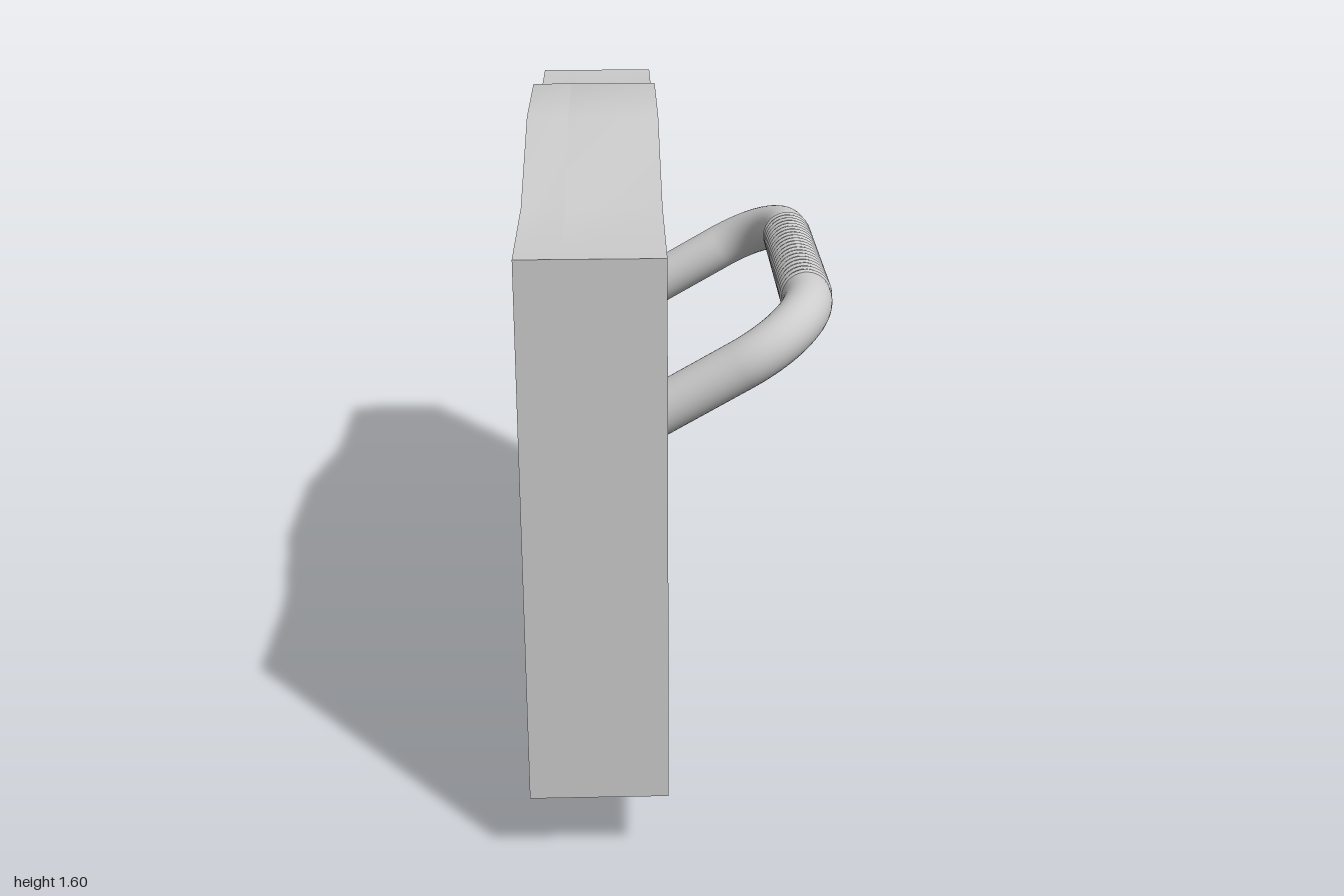
import * as THREE from 'three';
import { toCreasedNormals } from 'three/addons/utils/BufferGeometryUtils.js';

const BACK = -0.375, FRONT = -0.055, FLOOR = -0.275; // plate back, face and slot floor in x

export function createModel() {
  const group = new THREE.Group();
  const material = new THREE.MeshStandardMaterial({ color: 0xcccccc });
  const add = (name, geometry, parent = group) => {
    const mesh = new THREE.Mesh(geometry, material);
    mesh.name = name;
    parent.add(mesh);
    return mesh;
  };

  // Plate outline: first coordinate runs along the plate (z), second is height
  const outline = () => new THREE.Shape([
    [-1, 0.18], [-0.6, 0.18], [-0.2, 0], [0.2, 0], [0.6, 0.18], [1, 0.18],
    [1, 1.475], [0.6, 1.475], [0.2, 1.595], [-0.2, 1.595], [-0.6, 1.475], [-1, 1.475],
  ].map(([u, v]) => new THREE.Vector2(u, v)));
  const slot = (u0, u1, v0, v1) => new THREE.Path([
    new THREE.Vector2(u0, v0), new THREE.Vector2(u0, v1),
    new THREE.Vector2(u1, v1), new THREE.Vector2(u1, v0),
  ]);
  const slab = (shape, x0, x1) => {
    const g = new THREE.ExtrudeGeometry(shape, { depth: x1 - x0, bevelEnabled: false });
    g.rotateY(Math.PI / 2).translate(x0, 0, 0);
    return toCreasedNormals(g, 0.5);
  };

  // Solid back, and a face layer with two slots on each side
  add('plateBack', slab(outline(), BACK, FLOOR));
  const face = outline();
  face.holes.push(
    slot(0.415, 0.57, 0.2, 1.455), slot(-0.57, -0.415, 0.2, 1.455),
    slot(0.685, 0.918, 0.235, 1.425), slot(-0.918, -0.685, 0.235, 1.425),
  );
  add('plateFace', slab(face, FLOOR, FRONT));

  // Rollers lying in the outer slots
  for (const side of [1, -1]) {
    const roller = add(side > 0 ? 'rollerFront' : 'rollerRear', new THREE.CylinderGeometry(0.1, 0.1, 1.11, 48));
    roller.position.set(-0.157, 0.827, side * 0.803);
  }

  // Handle: built flat in its own xz plane, then tilted upwards by 30 degrees
  const handle = new THREE.Group();
  handle.name = 'handle';
  handle.position.set(0.311, 1.155, 0);
  handle.rotation.z = Math.PI / 6;
  group.add(handle);

  const radius = 0.0625, bend = 0.2, halfWidth = 0.4975, reach = 0.675, gripHalf = 0.28;
  const p = (x, z) => new THREE.Vector3(x, 0, z);
  const k = bend * 0.4477; // control offset for a round corner
  for (const s of [1, -1]) {
    const path = new THREE.CurvePath();
    path.add(new THREE.LineCurve3(p(-reach, s * halfWidth), p(-bend, s * halfWidth)));
    path.add(new THREE.CubicBezierCurve3(
      p(-bend, s * halfWidth), p(-k, s * halfWidth),
      p(0, s * (halfWidth - k)), p(0, s * (halfWidth - bend)),
    ));
    path.add(new THREE.LineCurve3(p(0, s * (halfWidth - bend)), p(0, 0)));
    add(s > 0 ? 'armFront' : 'armRear', new THREE.TubeGeometry(path, 80, radius - 0.001, 32, false), handle);
    const end = add('armEnd', new THREE.SphereGeometry(radius - 0.001, 32, 16), handle);
    end.position.set(-reach, 0, s * halfWidth);
  }

  // Ribbed grip
  const ribs = 20, pitch = 2 * gripHalf / ribs;
  for (let i = 0; i < ribs; i++) {
    const rib = add('gripRib', new THREE.TorusGeometry(0.052, pitch / 2, 12, 40), handle);
    rib.position.z = -gripHalf + (i + 0.5) * pitch;
  }
  return group;
}
